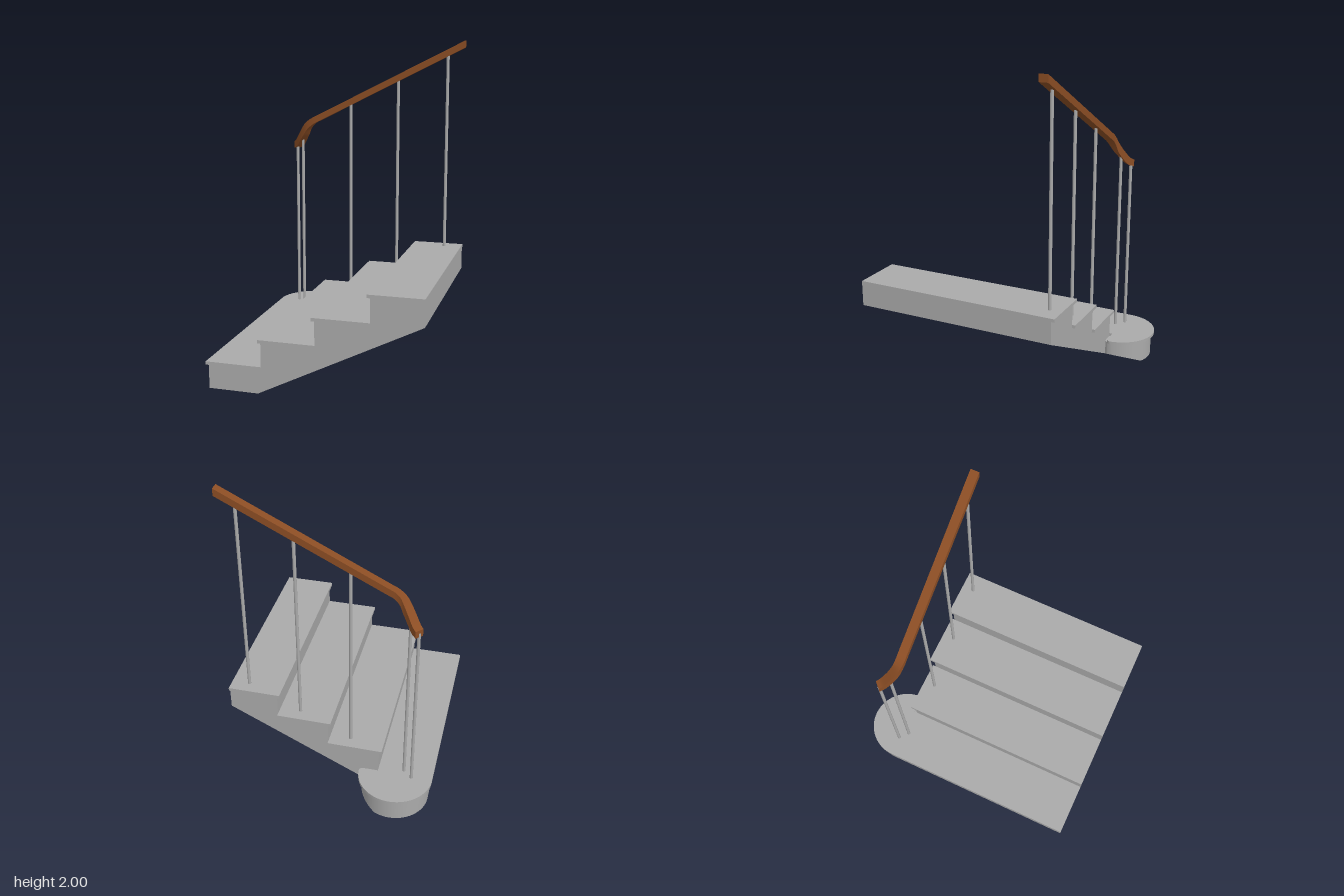
import * as THREE from 'three';
import { toCreasedNormals } from 'three/addons/utils/BufferGeometryUtils.js';

const RISE = 0.1625, THICK = 0.02, SLOPE = 0.505;
const FRONT = 0.765, BACK = -0.51, LIP = 0.02;
const RISERS = [-0.63, -0.305, 0.02, 0.342, 0.647];
const CX = -0.418, CZ = 0.537, R = 0.232; // rounded end of the first step

export function createModel() {
  const group = new THREE.Group();
  const stone = new THREE.MeshStandardMaterial({ color: 0xaaaaaa });
  stone.name = 'grey stone';
  const wood = new THREE.MeshStandardMaterial({ color: 0x8b4d24 });
  wood.name = 'brown wood';

  const add = (name, geometry, material = stone) => {
    const mesh = new THREE.Mesh(geometry, material);
    mesh.name = name;
    group.add(mesh);
    return mesh;
  };

  // Plan shapes use (x, -z) and are extruded upwards
  const slab = (shape, height, y = 0) =>
    new THREE.ExtrudeGeometry(shape, { depth: height, bevelEnabled: false, curveSegments: 32 })
      .rotateX(-Math.PI / 2).translate(0, y, 0);

  // Small curl running from the straight back edge into the big arc
  const curl = (shape, inset, endAngle) => {
    const r = R - inset, a = 0.1;
    shape.lineTo(-0.22 - inset, 0.53 - inset);
    shape.quadraticCurveTo(-0.186 - inset, 0.53 - inset, CX + r * Math.cos(a), CZ + r * Math.sin(a));
    shape.absarc(CX, CZ, r, a, endAngle, false);
  };

  // Stepped body with a sloping underside
  const profile = new THREE.Shape();
  profile.moveTo(RISERS[0], 0);
  profile.lineTo(-0.325, 0);
  profile.lineTo(RISERS[4], 0.49);
  for (let i = 3; i >= 0; i--) {
    const y = RISE * (i + 1) - THICK;
    profile.lineTo(RISERS[i + 1], y);
    profile.lineTo(RISERS[i], y);
  }
  add('stairBody', new THREE.ExtrudeGeometry(profile, { depth: FRONT - BACK, bevelEnabled: false })
    .translate(0, 0, BACK));

  // Rounded end of the first step: flat-bottomed half and half cut by the slope
  const split = Math.acos((-0.325 - CX) / (R - LIP));
  const outer = new THREE.Shape();
  outer.moveTo(RISERS[0], -BACK);
  outer.lineTo(-0.325, -BACK);
  outer.absarc(CX, CZ, R - LIP, split, Math.PI, false);
  add('roundedEndOuter', toCreasedNormals(slab(outer, RISE - THICK), 0.6));

  const inner = new THREE.Shape();
  inner.moveTo(-0.325, -BACK);
  curl(inner, LIP, split);
  const innerGeo = slab(inner, RISE - THICK);
  const pos = innerGeo.attributes.position;
  for (let i = 0; i < pos.count; i++) {
    if (pos.getY(i) < 0.01) pos.setY(i, Math.max(0, (pos.getX(i) + 0.325) * SLOPE));
  }
  add('roundedEndInner', toCreasedNormals(innerGeo, 0.6));

  // First tread with its curved end
  const first = new THREE.Shape();
  first.moveTo(RISERS[0] - LIP, -FRONT);
  first.lineTo(RISERS[1], -FRONT);
  first.lineTo(RISERS[1], -BACK + LIP);
  curl(first, 0, Math.PI);
  add('firstTread', toCreasedNormals(slab(first, THICK, RISE - THICK), 0.6));

  // Upper treads, overhanging in front and at the back side
  for (let i = 1; i < 4; i++) {
    const x0 = RISERS[i] - LIP, x1 = RISERS[i + 1], depth = FRONT - BACK + LIP;
    add('tread' + (i + 1), new THREE.BoxGeometry(x1 - x0, THICK, depth)
      .translate((x0 + x1) / 2, RISE * (i + 1) - THICK / 2, FRONT - depth / 2));
  }

  // Balusters: x, z, step number, top
  [[-0.52, -0.54, 1, 1.285], [-0.465, -0.492, 1, 1.345], [-0.111, -0.452, 2, 1.59],
    [0.212, -0.452, 3, 1.755], [0.537, -0.452, 4, 1.92]].forEach(([x, z, step, top], i) => {
    const y = step * RISE;
    add('baluster' + (i + 1), new THREE.CylinderGeometry(0.01, 0.01, top - y, 20)
      .translate(x, (top + y) / 2, z));
  });

  // Handrail: rectangular section swept along its top centre line
  const bend = new THREE.CatmullRomCurve3([
    [-0.522, 1.307, -0.548], [-0.503, 1.322, -0.53], [-0.475, 1.362, -0.503],
    [-0.445, 1.408, -0.478], [-0.412, 1.454, -0.459], [-0.375, 1.484, -0.452],
    [-0.335, 1.505, -0.452],
  ].map((p) => new THREE.Vector3(...p)));
  const path = [...bend.getPoints(30), new THREE.Vector3(0.647, 2, -0.452)];
  const verts = [], index = [];
  path.forEach((p, i) => {
    const t = path[Math.min(i + 1, path.length - 1)].clone().sub(path[Math.max(i - 1, 0)]);
    const flat = Math.hypot(t.x, t.z);
    const h = 0.04 * t.length() / flat;
    const sx = -t.z / flat * 0.027, sz = t.x / flat * 0.027;
    verts.push(p.x + sx, p.y, p.z + sz, p.x - sx, p.y, p.z - sz,
      p.x - sx, p.y - h, p.z - sz, p.x + sx, p.y - h, p.z + sz);
    if (i === 0) return;
    for (let k = 0; k < 4; k++) {
      const a = (i - 1) * 4 + k, b = (i - 1) * 4 + (k + 1) % 4;
      index.push(a, a + 4, b, b, a + 4, b + 4);
    }
  });
  const e = (path.length - 1) * 4;
  index.push(0, 1, 2, 0, 2, 3, e, e + 2, e + 1, e, e + 3, e + 2);
  const rail = new THREE.BufferGeometry();
  rail.setAttribute('position', new THREE.Float32BufferAttribute(verts, 3));
  rail.setIndex(index);
  add('handrail', toCreasedNormals(rail, 0.6), wood);

  return group;
}
